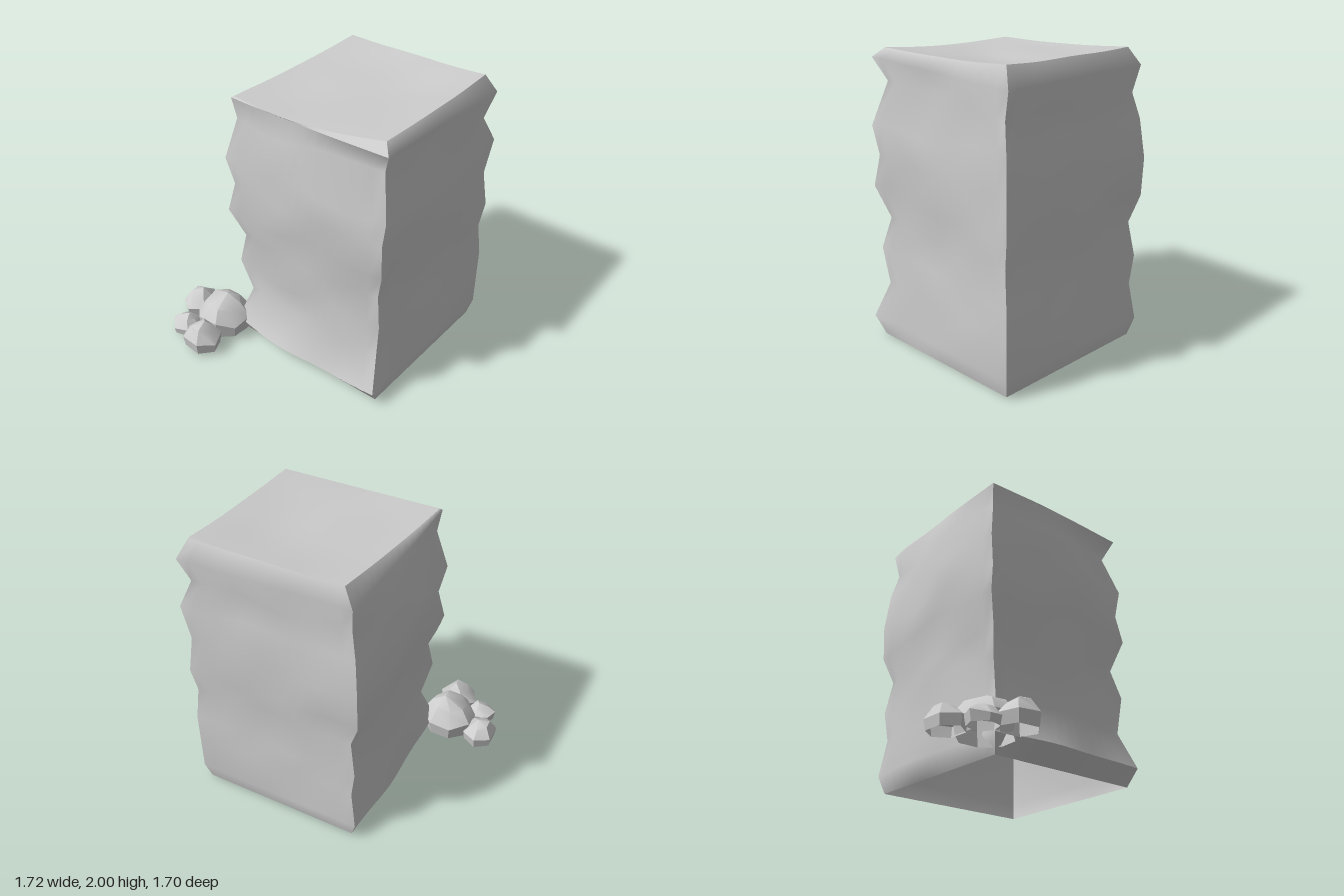
import * as THREE from 'three';
import { toCreasedNormals } from 'three/addons/utils/BufferGeometryUtils.js';

// corner rings from the ground up:
// [frontY, backY, frontLeft x,z, frontRight x,z, backRight x,z, backLeft x,z]
const RINGS = [
  [0.00, 0.00, -.33, .37, .83, .36, .83, -.82, -.34, -.82],
  [0.12, 0.12, -.38, .43, .86, .44, .86, -.85, -.38, -.85],
  [0.38, 0.38, -.30, .34, .80, .33, .86, -.85, -.34, -.82],
  [0.64, 0.58, -.36, .39, .83, .36, .86, -.85, -.37, -.83],
  [0.85, 0.82, -.33, .355, .78, .315, .84, -.82, -.33, -.80],
  [1.07, 1.00, -.41, .43, .85, .39, .86, -.85, -.40, -.84],
  [1.28, 1.26, -.37, .395, .82, .36, .83, -.82, -.405, -.85],
  [1.48, 1.52, -.41, .43, .855, .38, .86, -.85, -.38, -.82],
  [1.77, 1.69, -.345, .365, .775, .30, .80, -.78, -.34, -.78],
  [1.92, 1.87, -.365, .39, .84, .37, .84, -.845, -.365, -.82],
];
// corners of the top: x, y, z
const TOP = [[-.35, 1.93, .38], [.78, 1.98, .31], [.78, 2.0, -.77], [-.29, 1.985, -.77]];
const N = 14;
const lerp = THREE.MathUtils.lerp;

// smooth wandering value, about -1 to 1
const wander = (u, v, s) =>
  0.6 * Math.sin(5.1 * u + 3.7 * v + s * 2.3) + 0.4 * Math.sin(9.3 * u - 6.1 * v + s * 4.1);

// sheet through rows of points, smooth inside and sharp at its border
function sheet(rows) {
  const pos = [], idx = [], w = rows[0].length;
  rows.forEach(r => r.forEach(p => pos.push(...p)));
  for (let j = 0; j < rows.length - 1; j++)
    for (let i = 0; i < w - 1; i++) {
      const a = j * w + i, b = a + 1, c = a + w, d = c + 1;
      idx.push(a, b, d, a, d, c);
    }
  const g = new THREE.BufferGeometry();
  g.setAttribute('position', new THREE.Float32BufferAttribute(pos, 3));
  g.setIndex(idx);
  g.computeVertexNormals();
  return g;
}

// one wall row between neighbouring corners, with worn bulges between them
function wallRow(ring, side, j) {
  const k = (side + 1) % 4, out = [[0, 1], [1, 0], [0, -1], [-1, 0]][side];
  const height = corner => ring[corner < 2 ? 0 : 1];
  return Array.from({ length: N + 1 }, (_, i) => {
    const u = i / N, fade = Math.sin(Math.PI * u), n = wander(u, ring[0] * 2, side);
    let push = [0.045, -0.006, -0.006, 0.036][side] + 0.018 * n;
    if (side === 1 || side === 2) push = Math.min(push, 0);
    if (j === 0) push = 0;
    if (j === 9) push *= 0.3;
    const x = lerp(ring[2 + side * 2], ring[2 + k * 2], u) + out[0] * push * fade;
    const z = lerp(ring[3 + side * 2], ring[3 + k * 2], u) + out[1] * push * fade;
    const lift = j > 1 && j < 9 ? 0.05 * fade * wander(u, j, side + 5) : 0;
    return [x, lerp(height(side), height(k), u) + lift, z];
  });
}

// row along the top edge of a side
function topRow(side) {
  const a = TOP[side], b = TOP[(side + 1) % 4];
  return Array.from({ length: N + 1 }, (_, i) => {
    const u = i / N, p = a.map((v, c) => lerp(v, b[c], u)), fade = Math.sin(Math.PI * u);
    if (side === 0) {
      // front edge stays low and far forward until the chipped right corner
      p[1] -= 0.027 * fade;
      p[2] += 0.045 * fade;
    } else p[1] -= 0.012 * fade * (1 + wander(u, side, 3) * 0.5);
    return p;
  });
}

// angular stone, open underneath: off-centre peak, wide girdle and narrower foot
function stoneGeometry(sides, seed, round) {
  const profile = [[.9, 0], [1, .42], [.55 + round, .77], [0, 1]]
    .map(p => new THREE.Vector2(...p));
  const g = new THREE.LatheGeometry(profile, sides, seed);
  const p = g.attributes.position;
  for (let i = 0; i < p.count; i++) {
    const x = p.getX(i), y = p.getY(i), z = p.getZ(i);
    const n = 0.5 * Math.sin(x * 4 + seed * 3) + 0.5 * Math.sin(z * 5 + seed * 7);
    const lean = y > 0.9 ? 0.12 : 0;
    p.setXYZ(i, x * (1 + 0.05 * n) + lean, y > 0 && y < 1 ? y + 0.1 * n : y, z * (1 - 0.05 * n) - lean);
  }
  return toCreasedNormals(g, 0.55);
}

export function createModel() {
  const model = new THREE.Group();
  const rock = new THREE.MeshStandardMaterial({ color: 0xcccccc, side: THREE.DoubleSide });
  rock.name = 'stone grey';
  const add = (name, geometry) => {
    const m = new THREE.Mesh(geometry, rock);
    m.name = name;
    model.add(m);
    return m;
  };

  // four walls of the block, open underneath
  ['front', 'right', 'back', 'left'].forEach((name, side) => {
    const rows = RINGS.map((r, j) => wallRow(r, side, j));
    const rim = topRow(side);
    if (side === 0) {
      add('frontFoot', sheet(rows.slice(0, 2)));
      add('frontWall', sheet(rows.slice(1)));
      add('frontRim', sheet([rows[9], rim]));
    } else add(name + 'Wall', sheet([...rows, rim]));
  });

  // gently dished top
  const f = topRow(0), r = topRow(1), b = topRow(2).reverse(), l = topRow(3).reverse();
  const lid = f.map((_, j) => f.map((_, i) => {
    const u = i / N, v = j / N;
    return [0, 1, 2].map(c => {
      const edge = lerp(f[i][c], b[i][c], v) + lerp(l[j][c], r[j][c], u);
      const corners = lerp(lerp(TOP[0][c], TOP[1][c], u), lerp(TOP[3][c], TOP[2][c], u), v);
      const dip = c === 1 ? 0.014 * (wander(u, v, 2) - 1) * Math.sin(Math.PI * u) * Math.sin(Math.PI * v) : 0;
      return edge - corners + dip;
    });
  }));
  add('top', sheet(lid));

  // fallen stones: centre x, z, half width, half depth, foot y, height, sides, roundness
  [
    [-.485, .475, .21, .195, .04, .28, 8, .1],
    [-.755, .45, .125, .145, .03, .18, 6, 0],
    [-.67, .68, .11, .105, .02, .14, 6, 0],
    [-.455, .735, .155, .13, .03, .21, 6, 0],
  ].forEach(([x, z, w, d, y, h, sides, round], i) => {
    const s = add('fallenStone' + (i + 1), stoneGeometry(sides, i * 0.7 + 0.4, round));
    s.position.set(x, y, z);
    s.scale.set(w, h, d);
  });
  return model;
}
